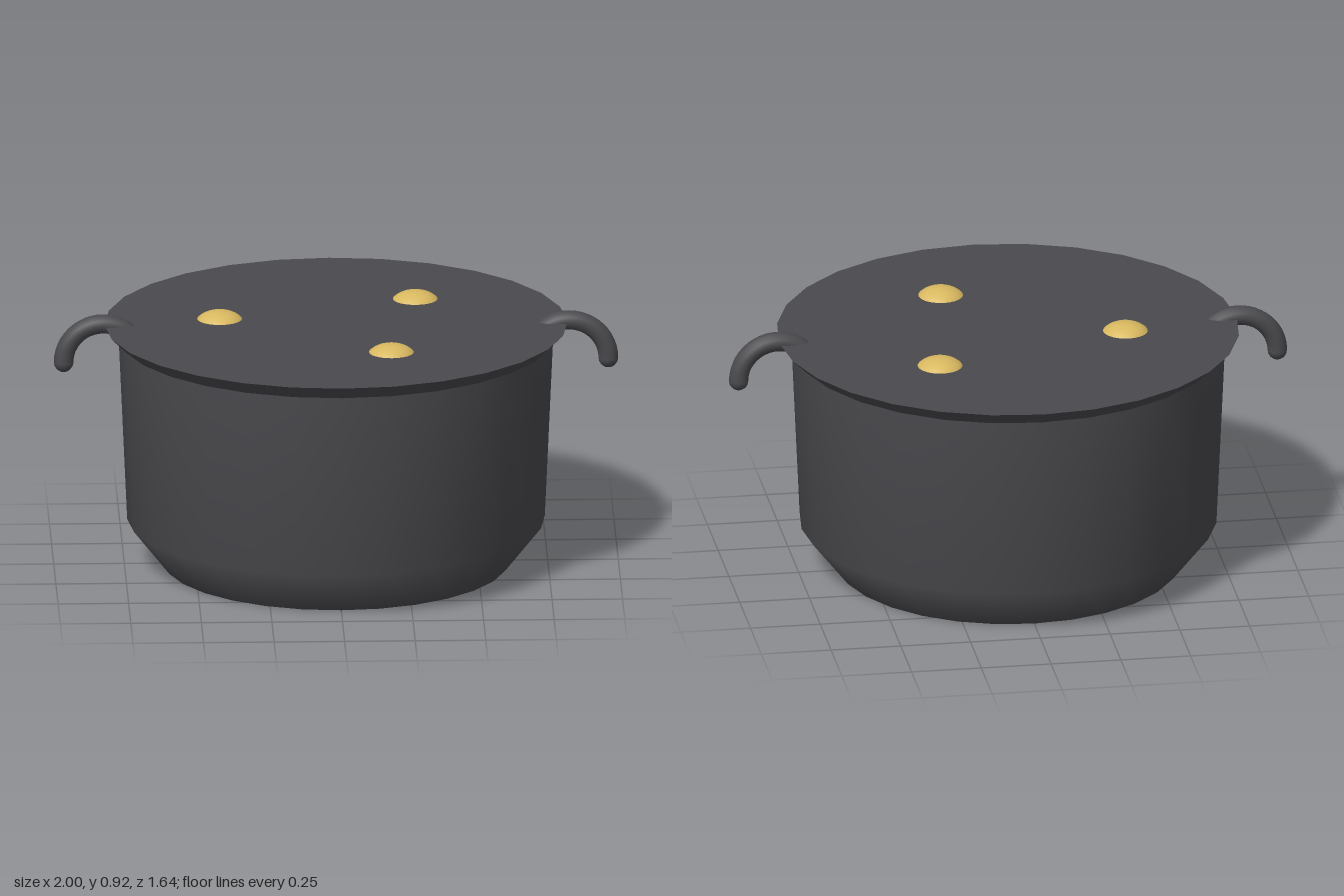
import * as THREE from 'three';

const SIDES = 28;

export function createModel() {
  const iron = new THREE.MeshStandardMaterial({ color: 0x4a4a4e });
  iron.name = 'dark iron';
  const gold = new THREE.MeshStandardMaterial({ color: 0xd8b860 });
  gold.name = 'gold';

  const model = new THREE.Group();
  model.name = 'pot';
  const add = (name, geometry, material, parent = model) => {
    const mesh = new THREE.Mesh(geometry, material);
    mesh.name = name;
    parent.add(mesh);
    return mesh;
  };

  // Wall: chamfered foot and slightly flared side
  const profile = [[0.61, 0], [0.74, 0.165], [0.77, 0.83]].map(([r, y]) => new THREE.Vector2(r, y));
  add('wall', new THREE.LatheGeometry(profile, SIDES), iron);

  // Flat base
  add('base', new THREE.CircleGeometry(0.61, SIDES).rotateX(Math.PI / 2), iron);

  // Flared rim, closed by the flat top
  add('rim', new THREE.CylinderGeometry(0.82, 0.77, 0.05, SIDES), iron).position.y = 0.855;

  // Hooked handles: half rings sunk into the top, with a rounded outer tip
  for (const side of [1, -1]) {
    const handle = new THREE.Group();
    handle.name = side > 0 ? 'leftHandle' : 'rightHandle';
    handle.position.set(side * 0.825, 0.745, 0);
    add('hook', new THREE.TorusGeometry(0.14, 0.035, 12, 24, Math.PI), iron, handle);
    const tip = add('hookTip', new THREE.SphereGeometry(0.035, 12, 8), iron, handle);
    tip.position.x = side * 0.14;
    model.add(handle);
  }

  // Golden lumps breaking the surface
  for (const [x, z] of [[-0.41, -0.07], [0.29, -0.3], [0.185, 0.365]]) {
    const lump = add('lump', new THREE.SphereGeometry(0.09, 24, 16), gold);
    lump.scale.y = 0.61;
    lump.position.set(x, 0.855, z);
  }

  return model;
}
